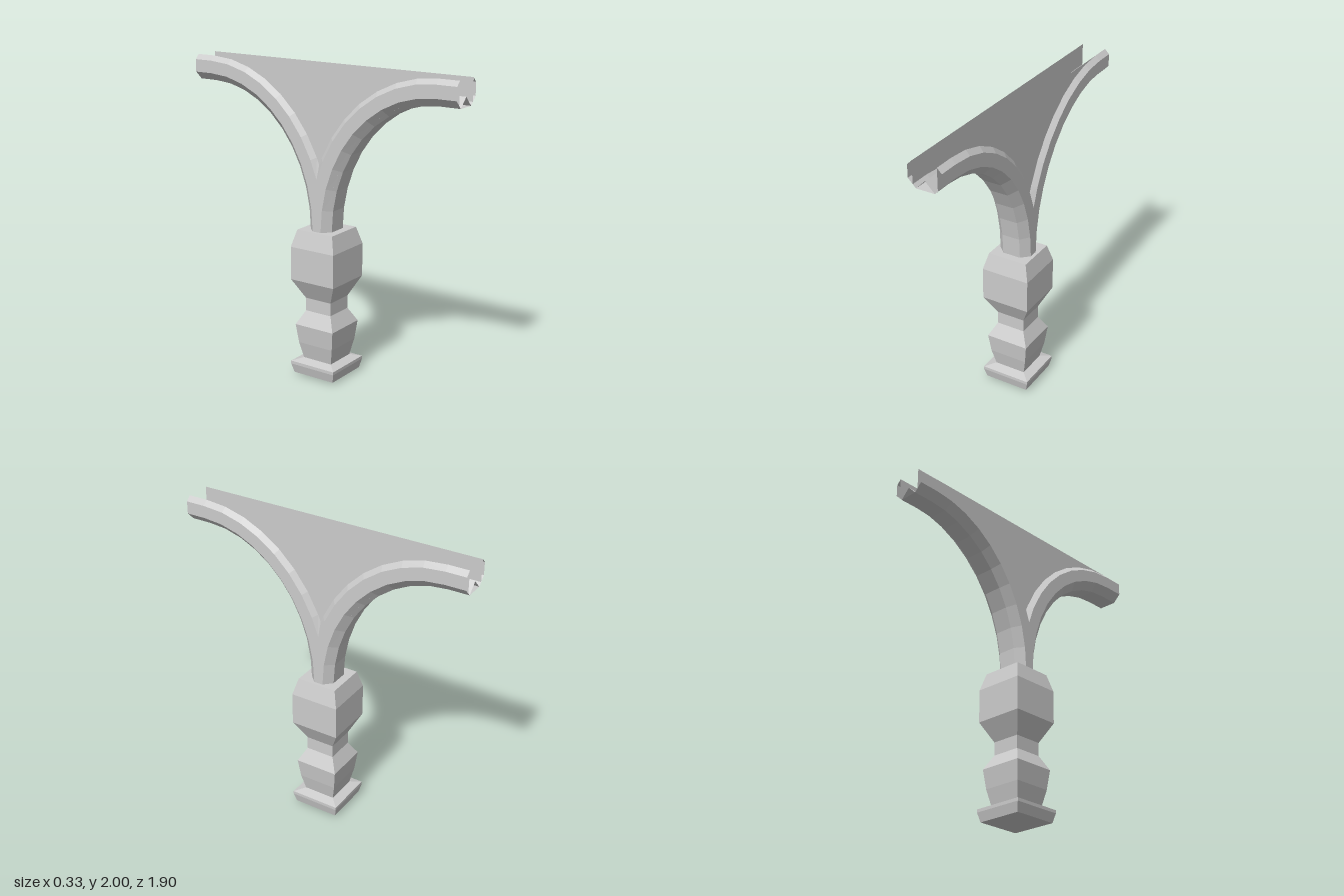
import * as THREE from 'three';

const grey = new THREE.MeshStandardMaterial({ color: 0xcccccc, flatShading: true });
const sheet = new THREE.MeshStandardMaterial({ color: 0xcccccc, flatShading: true, side: THREE.DoubleSide });

// Arch sweep: quarter ellipse from the post top out to a short level end
const CZ = 0.82, CY = 0.975, RZ = 0.74, RY = 0.865, END = 0.95, STEPS = 10;

// Points [z, y] along the arch, d inward from its underside, trimmed at z = 0
function archLine(d) {
  const rz = RZ + d, ry = RY + d;
  const cross = rz > CZ ? Math.acos(CZ / rz) : 0;
  const line = [];
  for (let i = 0; i <= STEPS; i++) {
    const a = (i / STEPS) * Math.PI / 2;
    if (i === 0) line.push([Math.max(0, CZ - rz), CY]);
    else {
      const t = Math.max(a, cross);
      line.push([Math.max(0, CZ - rz * Math.cos(t)), CY + ry * Math.sin(t)]);
    }
  }
  line.push([END, CY + ry]);
  return line;
}

// Sweep an open profile of [x, d] points along the arch
function sweep(profile) {
  const lines = profile.map(([, d]) => archLine(d));
  const pos = [];
  const put = (i, j) => pos.push(profile[j][0], lines[j][i][1], lines[j][i][0]);
  for (let i = 0; i <= STEPS; i++) {
    for (let j = 0; j < profile.length - 1; j++) {
      put(i, j); put(i, j + 1); put(i + 1, j + 1);
      put(i, j); put(i + 1, j + 1); put(i + 1, j);
    }
  }
  const g = new THREE.BufferGeometry();
  g.setAttribute('position', new THREE.Float32BufferAttribute(pos, 3));
  g.computeVertexNormals();
  return g;
}

function add(parent, name, geometry, material) {
  const mesh = new THREE.Mesh(geometry, material);
  mesh.name = name;
  parent.add(mesh);
  return mesh;
}

export function createModel() {
  const model = new THREE.Group();
  model.name = 'archedPost';

  // Square post turned from [half width, height]
  const outline = [
    [0, 0], [0.15, 0.015], [0.165, 0.075], [0.165, 0.095], [0.105, 0.113],
    [0.128, 0.22], [0.143, 0.345], [0.095, 0.435], [0.095, 0.52],
    [0.162, 0.65], [0.162, 0.865], [0.132, 0.975], [0, 0.975],
  ].map(([w, y]) => new THREE.Vector2(w * Math.SQRT2, y));
  add(model, 'post', new THREE.LatheGeometry(outline, 4, Math.PI / 4).toNonIndexed(), grey);

  // Two arched ribs: chamfered outside, channel with a centre ridge inside
  const outer = sweep([[-0.08, 0.16], [-0.11, 0.13], [-0.11, 0.05], [-0.06, 0],
    [0.06, 0], [0.11, 0.05], [0.11, 0.13], [0.08, 0.16]]);
  const inner = sweep([[0.08, 0.16], [0.08, 0.02], [0.06, 0], [0, 0.06],
    [-0.06, 0], [-0.08, 0.02], [-0.08, 0.16]]);
  for (const [name, turn] of [['frontRib', 0], ['backRib', Math.PI]]) {
    const rib = new THREE.Group();
    rib.name = name;
    add(rib, 'ribShell', outer, sheet);
    add(rib, 'ribChannel', inner, sheet);
    rib.rotation.y = turn;
    model.add(rib);
  }

  // Thin side panels filling the space above the arches
  const edge = archLine(0.16).slice(1);
  const border = [...edge.slice().reverse().map(([z, y]) => [-z, y]), ...edge]
    .map(([z, y]) => new THREE.Vector2(z, y))
    .filter((p, i, all) => i === 0 || p.distanceTo(all[i - 1]) > 1e-5);
  const panel = new THREE.ShapeGeometry(new THREE.Shape(border));
  for (const [name, side] of [['leftPanel', 1], ['rightPanel', -1]]) {
    const mesh = add(model, name, panel, sheet);
    mesh.rotation.y = side * Math.PI / 2;
    mesh.position.x = side * 0.08;
  }
  return model;
}
